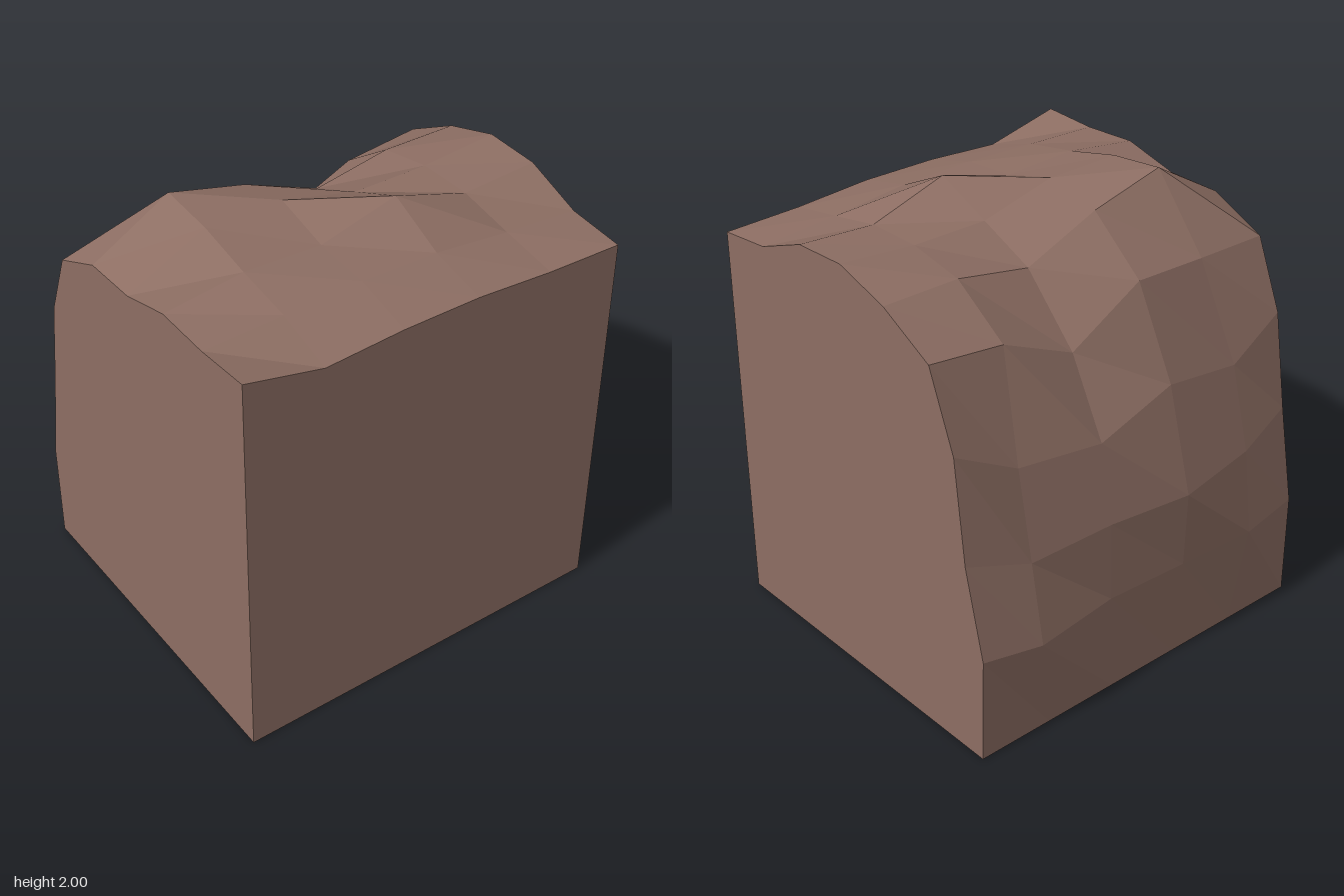
import * as THREE from 'three';

const rock = new THREE.MeshStandardMaterial({ color: 0x8d6e63, flatShading: true, side: THREE.DoubleSide });
rock.name = 'brown rock';

const HALF_DEPTH = 0.9, EDGE = 0.82, ROWS = 6;

// cliff side of each cross-section, foot to brow, as [x, y]; back row to front row
const SIDE = [
  [[-0.79, 0], [-0.80, 0.49], [-0.70, 0.89], [-0.644, 1.355]],
  [[-0.79, 0], [-0.82, 0.44], [-0.75, 0.80], [-0.67, 1.20]],
  [[-0.79, 0], [-0.79, 0.46], [-0.78, 0.82], [-0.71, 1.17]],
  [[-0.79, 0], [-0.81, 0.46], [-0.82, 0.81], [-0.69, 1.28]],
  [[-0.79, 0], [-0.82, 0.45], [-0.77, 0.84], [-0.67, 1.22]],
  [[-0.79, 0], [-0.79, 0.48], [-0.71, 0.92], [-0.64, 1.36]],
];

// heights of the top of each cross-section, evenly spaced from brow to straight edge
const TOP = [
  [1.69, 1.83, 1.91, 1.90, 1.80, 1.775],
  [1.65, 1.83, 1.88, 1.88, 1.83, 1.785],
  [1.49, 1.765, 1.88, 1.995, 1.87, 1.81],
  [1.69, 1.91, 1.97, 1.90, 1.88, 1.81],
  [1.68, 2.00, 1.975, 1.915, 1.87, 1.79],
  [1.675, 1.795, 1.80, 1.87, 1.86, 1.875],
];

function section(k) {
  const z = -HALF_DEPTH + (k * 2 * HALF_DEPTH) / (ROWS - 1);
  const inner = k > 0 && k < ROWS - 1;
  const side = SIDE[k].map(([x, y], i) => new THREE.Vector3(x, y, inner && i > 0 ? z * 1.12 : z));
  const top = TOP[k].map((y, i) => new THREE.Vector3(-0.51 + i * (EDGE + 0.51) / 5, y, z));
  return [...side, ...top];
}

// faceted skin joining neighbouring cross-sections
function skin(sections) {
  const points = [];
  for (let k = 0; k < sections.length - 1; k++) {
    const a = sections[k], b = sections[k + 1];
    for (let i = 0; i < a.length - 1; i++) {
      points.push(a[i], b[i], a[i + 1], b[i], b[i + 1], a[i + 1]);
    }
  }
  const geometry = new THREE.BufferGeometry().setFromPoints(points);
  geometry.computeVertexNormals();
  return geometry;
}

// flat wall from an outline
function wall(outline) {
  return new THREE.ShapeGeometry(new THREE.Shape(outline.map(([x, y]) => new THREE.Vector2(x, y))));
}

export function createModel() {
  const group = new THREE.Group();
  group.name = 'cliffBlock';
  const add = (name, geometry) => {
    const mesh = new THREE.Mesh(geometry, rock);
    mesh.name = name;
    group.add(mesh);
  };

  const sections = Array.from({ length: ROWS }, (_, k) => section(k));
  const front = sections[ROWS - 1], back = sections[0];

  // weathered cliff face and top
  add('cliffSurface', skin(sections));

  // flat cut walls; the underside stays open
  add('frontWall', wall([...front.map(p => [p.x, p.y]), [EDGE, 0]]).translate(0, 0, HALF_DEPTH));
  add('backWall', wall([...back.map(p => [-p.x, p.y]), [-EDGE, 0]])
    .rotateY(Math.PI).translate(0, 0, -HALF_DEPTH));
  const rim = sections.map(s => s[s.length - 1]);
  add('sideWall', wall([[HALF_DEPTH, 0], ...rim.map(p => [-p.z, p.y]), [-HALF_DEPTH, 0]])
    .rotateY(Math.PI / 2).translate(EDGE, 0, 0));

  return group;
}
